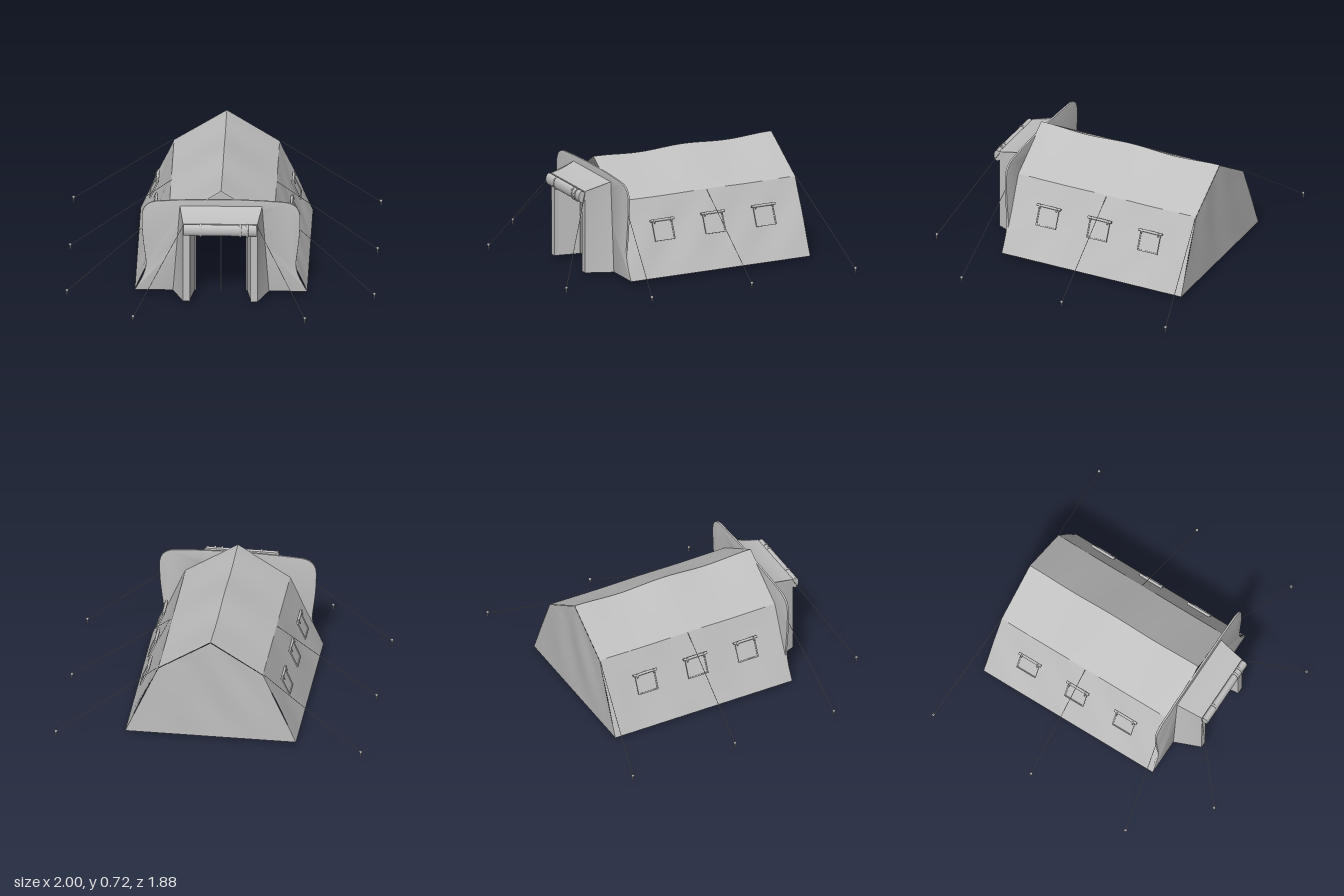
import * as THREE from 'three';
import { toCreasedNormals } from 'three/addons/utils/BufferGeometryUtils.js';

const canvas = new THREE.MeshStandardMaterial({ color: 0xbfbfbf, side: THREE.DoubleSide });
canvas.name = 'grey canvas';

const V = (x, y, z) => new THREE.Vector3(x, y, z);
const BASE = 0.02, FRONT = 0.455, BACK = -0.83;

// Surface grid: fn(u, v) returns a point for u, v in 0..1
function sheet(nu, nv, fn, crease = 0.4) {
  const pos = [], idx = [];
  for (let j = 0; j <= nv; j++)
    for (let i = 0; i <= nu; i++) pos.push(...fn(i / nu, j / nv).toArray());
  for (let j = 0; j < nv; j++)
    for (let i = 0; i < nu; i++) {
      const a = j * (nu + 1) + i, b = a + 1, c = a + nu + 1, d = c + 1;
      idx.push(a, b, d, a, d, c);
    }
  const g = new THREE.BufferGeometry();
  g.setAttribute('position', new THREE.Float32BufferAttribute(pos, 3));
  g.setIndex(idx);
  g.computeVertexNormals();
  return toCreasedNormals(g, crease);
}

// Four-cornered flat or twisted sheet
const quad = (a, b, c, d) => sheet(6, 6, (u, v) =>
  a.clone().lerp(b, u).lerp(d.clone().lerp(c, u), v));

function extrude(shape, depth, bevel, z) {
  const g = new THREE.ExtrudeGeometry(shape, {
    depth, bevelEnabled: bevel > 0, bevelSize: bevel, bevelThickness: bevel,
    bevelOffset: -bevel, bevelSegments: 2, curveSegments: 8,
  });
  return g.translate(0, 0, z);
}

export function createModel() {
  const model = new THREE.Group();
  const add = (name, geometry, parent = model) => {
    const m = new THREE.Mesh(geometry, canvas);
    m.name = name;
    parent.add(m);
    return m;
  };

  // Tent shell: two sloping walls and two roof slopes, with a gently sagging ridge
  const profile = [V(0.555, BASE, 0), V(0.34, 0.5, 0), V(0, 0.708, 0), V(-0.34, 0.5, 0), V(-0.555, BASE, 0)];
  add('tentShell', sheet(32, 40, (u, v) => {
    const t = u * 4, k = Math.min(3, Math.floor(t));
    const p = profile[k].clone().lerp(profile[k + 1], t - k);
    p.z = FRONT + (BACK - FRONT) * v;
    const wave = Math.cos((p.z + 0.19) * Math.PI * 2 / 0.63);
    p.y += 0.007 * wave * Math.max(0, (p.y - 0.45) / 0.25);
    const onWall = k === 0 || k === 3;
    if (onWall) {
      const f = k === 0 ? t : 4 - t;
      p.x += Math.sign(p.x) * Math.sin(f * Math.PI) * 0.004 * (wave - 0.6 + Math.sin(p.z * 17 + f * 6));
    }
    return p;
  }));

  // Back wall, softly rippled
  add('backWall', sheet(24, 20, (u, v) => {
    const s = u * 2 - 1;
    const low = V(0.555 * -s, BASE, BACK);
    const x = 0.34 * -s;
    const p = v < 0.7
      ? low.lerp(V(x, 0.5, BACK), v / 0.7)
      : V(x, 0.5, BACK).lerp(V(x, 0.712 - 0.212 * Math.abs(s), BACK), (v - 0.7) / 0.3);
    const inside = (1 - s * s) * Math.sin(Math.PI * v);
    p.z += inside * 0.006 * Math.sin(s * 7 + v * 5);
    return p;
  }));

  // Front panel with winged outline and doorway
  const panel = new THREE.Shape();
  panel.moveTo(-0.16, BASE);
  panel.lineTo(-0.555, BASE);
  panel.bezierCurveTo(-0.51, 0.1, -0.475, 0.16, -0.485, 0.24);
  panel.bezierCurveTo(-0.495, 0.32, -0.512, 0.42, -0.51, 0.55);
  panel.bezierCurveTo(-0.505, 0.6, -0.48, 0.635, -0.42, 0.645);
  panel.quadraticCurveTo(-0.2, 0.662, 0, 0.66);
  panel.quadraticCurveTo(0.2, 0.662, 0.42, 0.645);
  panel.bezierCurveTo(0.48, 0.635, 0.505, 0.6, 0.51, 0.55);
  panel.bezierCurveTo(0.512, 0.42, 0.495, 0.32, 0.485, 0.24);
  panel.bezierCurveTo(0.475, 0.16, 0.51, 0.1, 0.555, BASE);
  panel.lineTo(0.16, BASE);
  panel.lineTo(0.16, 0.46);
  panel.quadraticCurveTo(0.155, 0.5, 0.11, 0.5);
  panel.lineTo(-0.11, 0.5);
  panel.quadraticCurveTo(-0.155, 0.5, -0.16, 0.46);
  add('frontPanel', toCreasedNormals(extrude(panel, 0.008, 0.003, 0.452), 0.6));
  add('doorPole', new THREE.CylinderGeometry(0.003, 0.003, 0.5, 6).translate(0, 0.27, 0.458));

  // Porch: front frame, sloping roof and flared sides
  const porch = new THREE.Group();
  porch.name = 'porch';
  model.add(porch);
  const frame = new THREE.Shape([
    [-0.24, BASE], [-0.195, BASE], [-0.195, 0.5], [0.195, 0.5], [0.195, BASE], [0.24, BASE],
    [0.24, 0.565], [-0.24, 0.565],
  ].map(([x, y]) => new THREE.Vector2(x, y)));
  add('porchFrame', extrude(frame, 0.025, 0, 0.61), porch);
  add('porchRoof', sheet(10, 6, (u, v) => {
    const s = 1 - 2 * u;
    return V(s * (0.24 + 0.025 * v), 0.566 + 0.05 * v - 0.008 * Math.sin(Math.PI * v), 0.637 - 0.177 * v);
  }), porch);
  for (const s of [1, -1]) {
    add('porchSide', quad(V(s * 0.24, BASE, 0.635), V(s * 0.31, BASE, 0.46),
      V(s * 0.265, 0.616, 0.46), V(s * 0.24, 0.566, 0.637)), porch);
    add('porchLining', quad(V(s * 0.195, BASE, 0.61), V(s * 0.17, BASE, 0.465),
      V(s * 0.17, 0.5, 0.465), V(s * 0.195, 0.5, 0.61)), porch);
  }

  // Rolled door curtain with straps
  const roll = add('rolledCurtain', new THREE.CylinderGeometry(0.032, 0.032, 0.47, 20).rotateZ(Math.PI / 2), porch);
  roll.position.set(0, 0.53, 0.655);
  roll.scale.set(1, 1.2, 0.75);
  for (const x of [-0.125, 0.13, 0.175]) {
    const strap = add('curtainStrap', new THREE.TorusGeometry(0.034, 0.004, 6, 20).rotateY(Math.PI / 2), porch);
    strap.position.set(x, 0.53, 0.655);
    strap.scale.set(2, 1.2, 0.75);
  }

  // Side windows: thin flap, raised border and rolled cover, tilted with the wall
  const tilt = Math.atan2(0.215, 0.48);
  const border = new THREE.Shape([[-0.072, -0.068], [0.072, -0.068], [0.072, 0.068], [-0.072, 0.068]]
    .map(([x, y]) => new THREE.Vector2(x, y)));
  border.holes.push(new THREE.Path([[-0.064, -0.06], [-0.064, 0.06], [0.064, 0.06], [0.064, -0.06]]
    .map(([x, y]) => new THREE.Vector2(x, y))));
  for (const s of [1, -1])
    for (const z of [0.18, -0.185, -0.55]) {
      const win = new THREE.Group();
      win.name = 'sideWindow';
      win.position.set(s * 0.4545, 0.305, z);
      win.rotation.set(-tilt, s * Math.PI / 2, 0, 'YXZ');
      add('windowBorder', extrude(border, 0.008, 0, 0), win);
      add('windowFlap', new THREE.BoxGeometry(0.13, 0.122, 0.006), win);
      add('windowRoll', new THREE.CylinderGeometry(0.009, 0.009, 0.17, 10)
        .rotateZ(Math.PI / 2).translate(0, 0.066, 0.01), win);
      for (const x of [-0.06, 0.06])
        add('windowTie', new THREE.BoxGeometry(0.008, 0.03, 0.006).translate(x, 0.06, 0.018), win);
      model.add(win);
    }

  // Guy ropes and ground stakes, mirrored left and right
  const guys = [
    [V(0.99, 0.035, -0.935), V(0.35, 0.5, -0.83)],
    [V(0.99, 0.035, -0.188), V(0.345, 0.5, -0.188)],
    [V(0.99, 0.035, 0.533), V(0.505, 0.46, 0.46)],
    [V(0.553, 0.035, 0.93), V(0.238, 0.555, 0.635)],
  ];
  const mirror = (p, s) => V(p.x * s, p.y, p.z);
  const stake = [[0, 0], [0.004, 0.012], [0.006, 0.036], [0.01, 0.039], [0.01, 0.047], [0, 0.05]]
    .map(([x, y]) => new THREE.Vector2(x, y));
  for (const s of [1, -1])
    for (const [foot, top] of guys) {
      const a = mirror(foot, s), b = mirror(top, s);
      add('guyRope', new THREE.TubeGeometry(new THREE.LineCurve3(a, b), 1, 0.002, 5));
      add('groundStake', new THREE.LatheGeometry(stake, 8)).position.set(a.x, 0, a.z);
    }

  return model;
}
